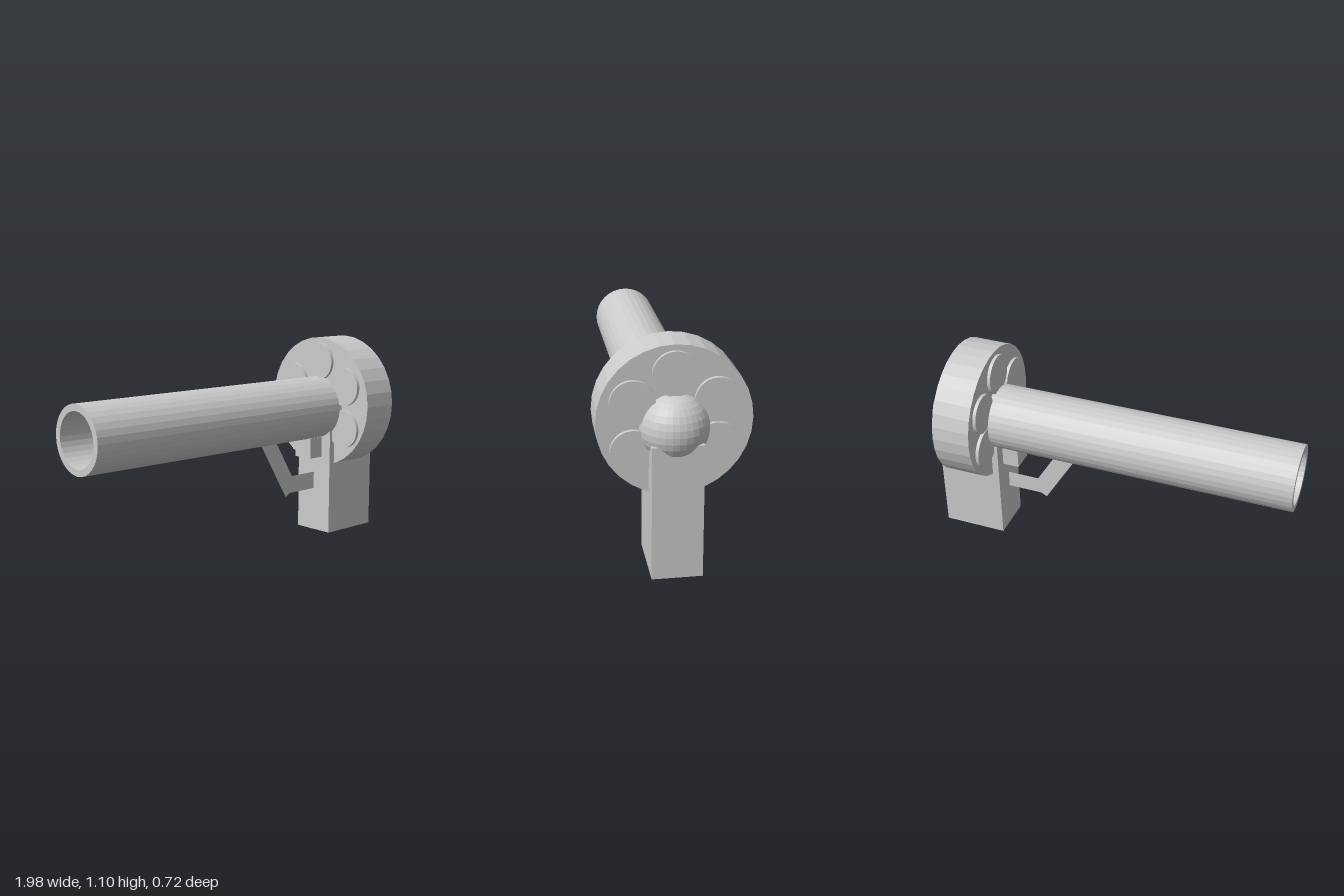
import * as THREE from 'three';

const mat = new THREE.MeshStandardMaterial({ color: 0xcccccc, flatShading: true });
const thinMat = new THREE.MeshStandardMaterial({ color: 0xcccccc, flatShading: true, side: THREE.DoubleSide });

export function createModel() {
  const model = new THREE.Group();

  const add = (name, geometry, x, y, z, material = mat) => {
    const mesh = new THREE.Mesh(geometry, material);
    mesh.name = name;
    mesh.position.set(x, y, z);
    model.add(mesh);
    return mesh;
  };

  // Cylinder lying along x between x0 and x1
  const rod = (name, radius, x0, x1, y, z, sides) =>
    add(name, new THREE.CylinderGeometry(radius, radius, x1 - x0, sides).rotateZ(Math.PI / 2), (x0 + x1) / 2, y, z);

  // Hollow barrel: outer wall, muzzle rim and bore turned in one profile
  const length = 1.64;
  const profile = [[0.172, 0], [0.172, length], [0.138, length], [0.138, 0]]
    .map(([r, h]) => new THREE.Vector2(r, h));
  add('barrel', new THREE.LatheGeometry(profile, 32).rotateZ(Math.PI / 2), 0.66, 0.708, 0, thinMat);

  // Drum with round chambers standing slightly proud of both faces
  rod('drum', 0.36, 0.655, 0.86, 0.737, 0, 32);
  const chambers = [[0.965, 0], [0.837, 0.193], [0.837, -0.193], [0.603, 0.193], [0.623, -0.193]];
  for (const [y, z] of chambers) rod('chamber', 0.105, 0.638, 0.88, y, z, 48);

  // Rounded rear cap
  add('rearCap', new THREE.SphereGeometry(0.165, 32, 16), 0.835, 0.707, 0);

  // Upright grip, rising into the drum and the rear cap
  add('grip', new THREE.BoxGeometry(0.345, 0.655, 0.24), 0.7925, 0.3275, 0);

  // Trigger block between barrel and grip
  add('trigger', new THREE.BoxGeometry(0.1, 0.115, 0.115), 0.58, 0.4875, 0);

  // Thin bent trigger guard
  const guard = new THREE.Shape([
    [0.2, 0.545], [0.395, 0.222], [0.43, 0.24], [0.63, 0.24],
    [0.63, 0.335], [0.443, 0.335], [0.315, 0.545],
  ].map(([x, y]) => new THREE.Vector2(x, y)));
  add('triggerGuard', new THREE.ShapeGeometry(guard), 0, 0, 0, thinMat);

  return model;
}
